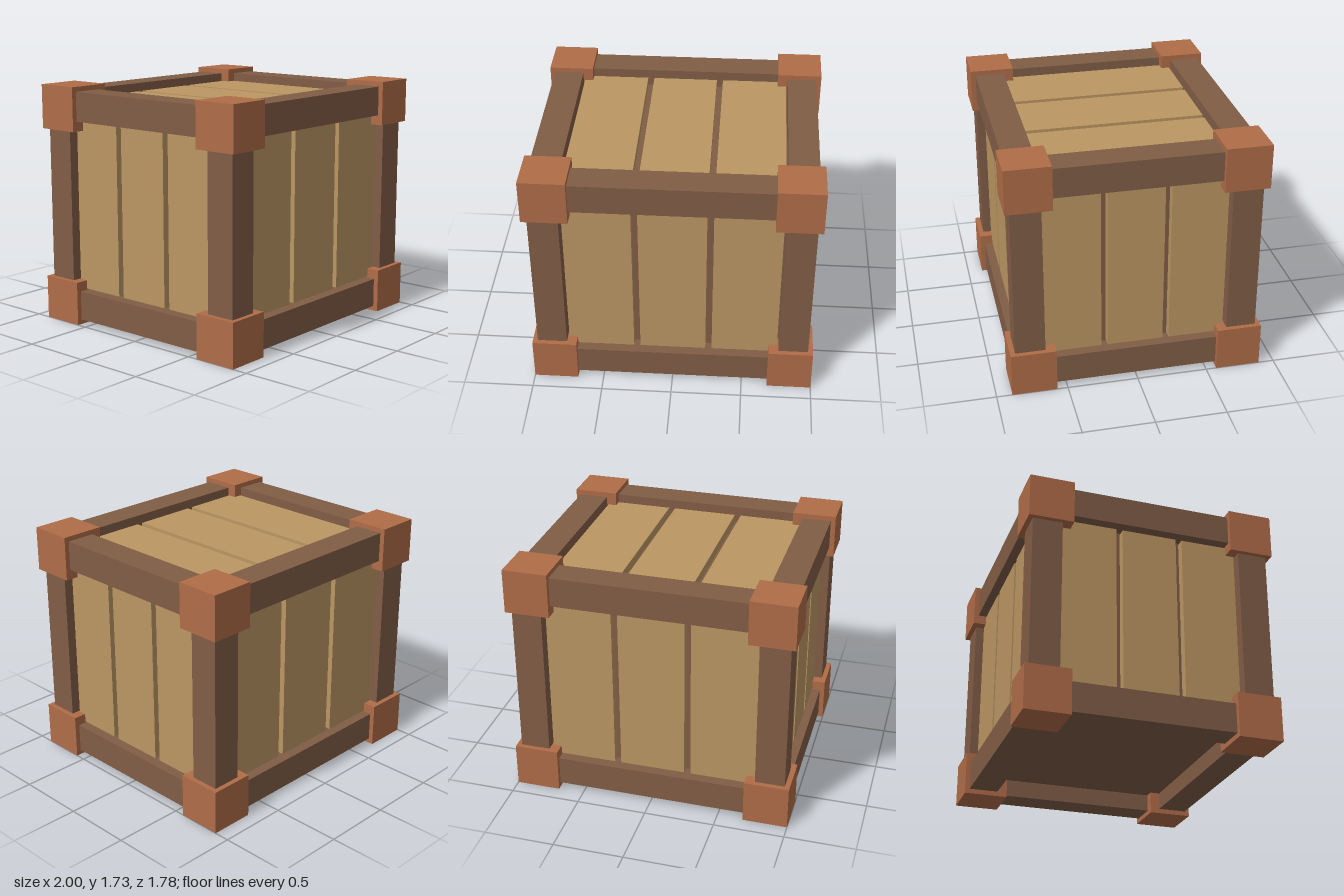
import * as THREE from 'three';

export function createModel() {
  const crate = new THREE.Group();
  crate.name = 'crate';

  const material = (name, color) => {
    const m = new THREE.MeshStandardMaterial({ color });
    m.name = name;
    return m;
  };
  const darkWood = material('dark wood', 0x815d46);
  const lightWood = material('light wood', 0xbb9663);
  const copper = material('copper', 0xb06c48);

  // Half extents of the whole crate
  const HALF = { x: 1, y: 0.8625, z: 0.89 };
  const AXES = ['x', 'y', 'z'];
  const CORNER = 0.316, BEAM = 0.21, BEAM_INSET = 0.035;
  const PLANK_INSET = 0.095, CORE_INSET = 0.16;

  // Box from per-axis sizes and centre, measured from the crate's middle
  const addBox = (name, mat, size, pos) => {
    const mesh = new THREE.Mesh(new THREE.BoxGeometry(size.x, size.y, size.z), mat);
    mesh.name = name;
    mesh.position.set(pos.x, pos.y + HALF.y, pos.z);
    crate.add(mesh);
  };

  // Inner box, seen between the planks and underneath
  addBox('core', darkWood, {
    x: 2 * (HALF.x - CORE_INSET),
    y: 2 * (HALF.y - CORE_INSET),
    z: 2 * (HALF.z - CORE_INSET),
  }, { x: 0, y: 0, z: 0 });

  // Corner blocks
  const c = CORNER / 2;
  for (const sx of [-1, 1]) for (const sy of [-1, 1]) for (const sz of [-1, 1]) {
    addBox('cornerBlock', copper, { x: CORNER, y: CORNER, z: CORNER },
      { x: sx * (HALF.x - c), y: sy * (HALF.y - c), z: sz * (HALF.z - c) });
  }

  // Four frame beams along each axis, ending inside the corner blocks
  const b = BEAM_INSET + BEAM / 2;
  AXES.forEach((along, i) => {
    const u = AXES[(i + 1) % 3], v = AXES[(i + 2) % 3];
    for (const su of [-1, 1]) for (const sv of [-1, 1]) {
      addBox('frameBeam', darkWood,
        { [along]: 2 * (HALF[along] - 0.2), [u]: BEAM, [v]: BEAM },
        { [along]: 0, [u]: su * (HALF[u] - b), [v]: sv * (HALF[v] - b) });
    }
  });

  // Three planks on each panel: front, back, both sides and top
  const GAP = 0.045, EDGE = BEAM_INSET + BEAM + 0.01;
  const addPanel = (name, normal, sign, across, along) => {
    const total = 2 * (HALF[across] - EDGE);
    const width = (total - 2 * GAP) / 3;
    const depth = CORE_INSET - PLANK_INSET;
    for (const k of [-1, 0, 1]) {
      addBox(name, lightWood,
        { [normal]: depth, [across]: width, [along]: 2 * (HALF[along] - EDGE) },
        { [normal]: sign * (HALF[normal] - PLANK_INSET - depth / 2), [across]: k * (width + GAP), [along]: 0 });
    }
  };
  addPanel('frontPlank', 'z', 1, 'x', 'y');
  addPanel('backPlank', 'z', -1, 'x', 'y');
  addPanel('leftPlank', 'x', 1, 'z', 'y');
  addPanel('rightPlank', 'x', -1, 'z', 'y');
  addPanel('topPlank', 'y', 1, 'x', 'z');

  return crate;
}
